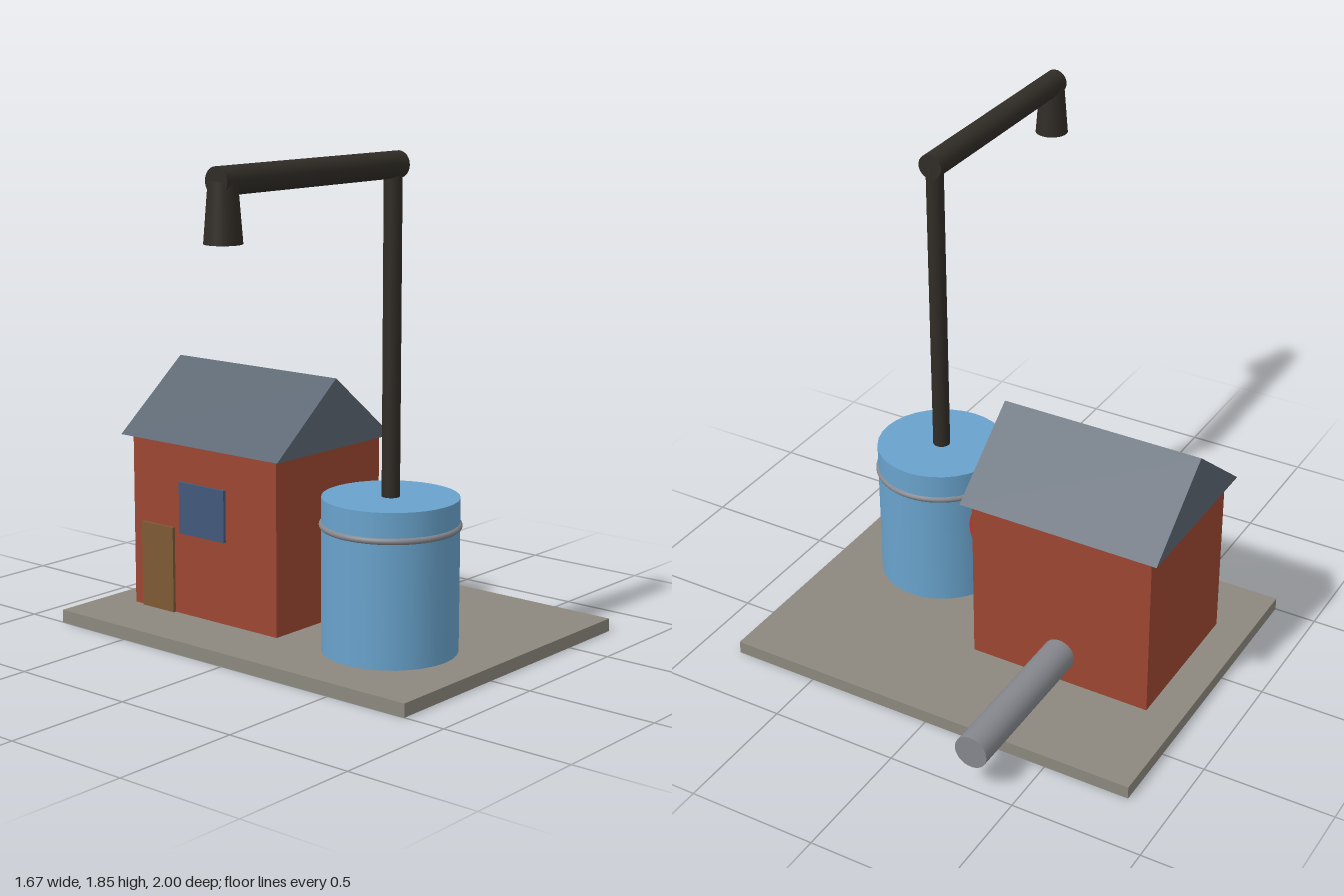
import * as THREE from 'three';

const mat = (color) => new THREE.MeshStandardMaterial({ color });
const COLORS = {
  stone: mat(0x8c887e), brick: mat(0x9c4632), slate: mat(0x5b6672), wood: mat(0x7d5a35),
  glass: mat(0x42597c), water: mat(0x69a3cc), iron: mat(0x302c26), red: mat(0xb93530),
  steel: mat(0x85878d),
};

export function createModel() {
  const model = new THREE.Group();
  model.name = 'pumpHouse';

  const add = (name, geometry, material, x, y, z) => {
    const mesh = new THREE.Mesh(geometry, material);
    mesh.name = name;
    mesh.position.set(x, y, z);
    model.add(mesh);
    return mesh;
  };
  // Box given by its minimum and maximum corners
  const box = (name, material, [x0, y0, z0], [x1, y1, z1]) =>
    add(name, new THREE.BoxGeometry(x1 - x0, y1 - y0, z1 - z0), material,
      (x0 + x1) / 2, (y0 + y1) / 2, (z0 + z1) / 2);
  // Upright cylinder between two heights
  const column = (name, material, rTop, rBottom, y0, y1, x, z) =>
    add(name, new THREE.CylinderGeometry(rTop, rBottom, y1 - y0, 32), material, x, (y0 + y1) / 2, z);
  // Cylinder lying along z
  const pipe = (name, material, r, z0, z1, x, y) => {
    const geometry = new THREE.CylinderGeometry(r, r, z1 - z0, 32).rotateX(Math.PI / 2);
    return add(name, geometry, material, x, y, (z0 + z1) / 2);
  };

  // Ground slab
  box('base', COLORS.stone, [-0.835, 0, -0.77], [0.835, 0.05, 0.5]);

  // House with door and window
  box('houseWalls', COLORS.brick, [-0.7, 0.05, -0.365], [0.032, 0.72, 0.235]);
  box('door', COLORS.wood, [-0.65, 0.05, 0.225], [-0.485, 0.385, 0.247]);
  box('window', COLORS.glass, [-0.45, 0.37, 0.225], [-0.22, 0.57, 0.247]);

  // Gable roof: triangle in the z-y plane, extruded along x
  const gable = new THREE.Shape([
    new THREE.Vector2(-0.333, 0), new THREE.Vector2(0.333, 0), new THREE.Vector2(0, 0.267),
  ]);
  const roof = new THREE.ExtrudeGeometry(gable, { depth: 0.8, bevelEnabled: false });
  roof.translate(0, 0, -0.4).rotateY(Math.PI / 2);
  add('roof', roof, COLORS.slate, -0.335, 0.72, -0.066);

  // Outlet pipe at the back
  pipe('outletPipe', COLORS.steel, 0.064, -1, -0.3, -0.335, 0.168);

  // Valve wheel on the side wall
  pipe('valveWheel', COLORS.red, 0.148, -0.096, -0.05, 0.062, 0.403);

  // Water tank and its hoop
  const tx = 0.43, tz = 0.066;
  column('tank', COLORS.water, 0.25, 0.25, 0.05, 0.62, tx, tz);
  const hoop = new THREE.TorusGeometry(0.246, 0.0125, 12, 64).rotateX(Math.PI / 2);
  add('tankHoop', hoop, COLORS.steel, tx, 0.517, tz);

  // Standpipe, overhead arm and flared spout
  column('standpipe', COLORS.iron, 0.033, 0.033, 0.6, 1.8, tx, tz);
  pipe('arm', COLORS.iron, 0.048, 0.034, 0.967, tx, 1.803);
  column('spout', COLORS.iron, 0.048, 0.064, 1.603, 1.803, tx, 0.936);

  return model;
}
